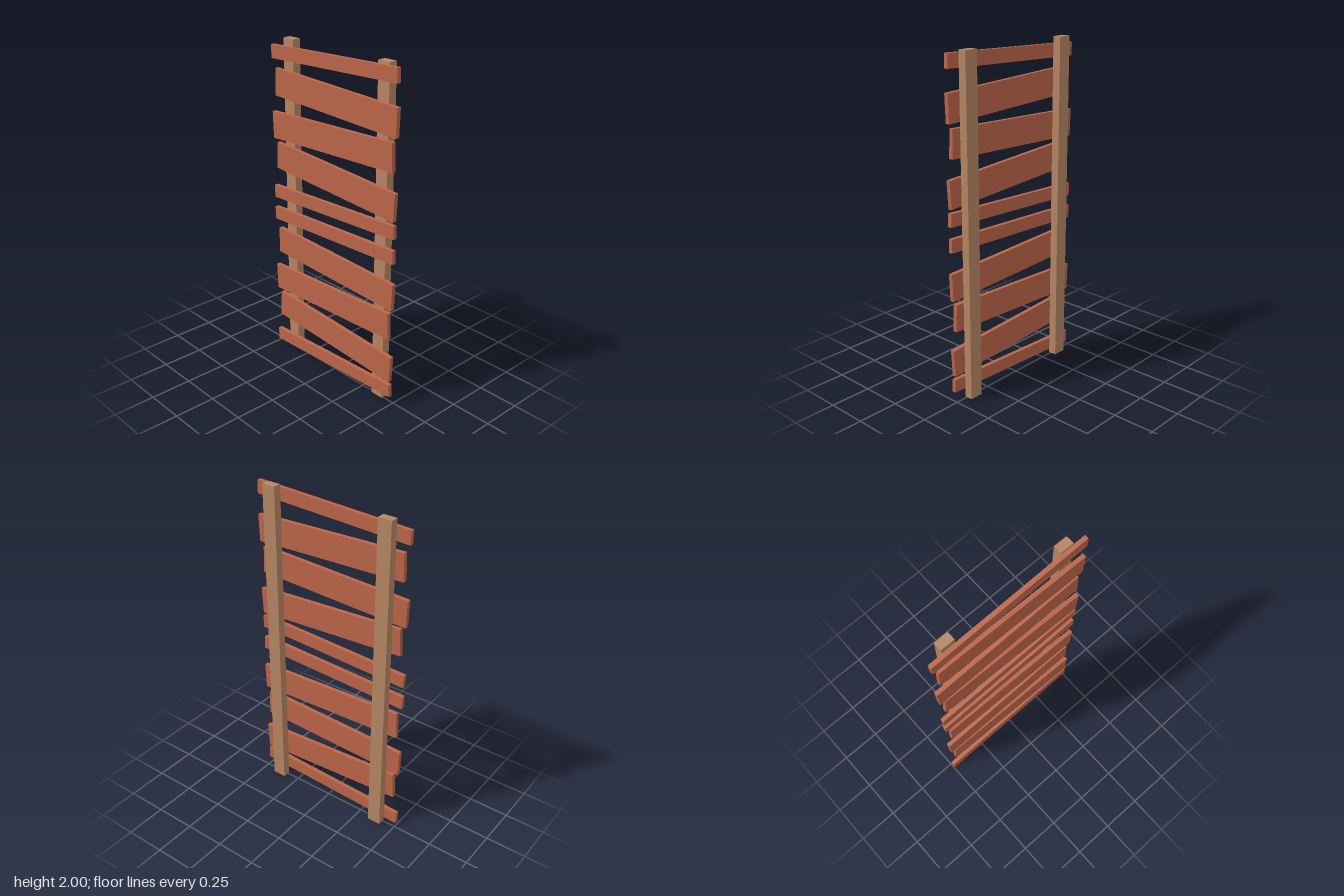
import * as THREE from 'three';

export function createModel() {
  const group = new THREE.Group();
  const railMaterial = new THREE.MeshStandardMaterial({ color: 0xb58562 });
  const plankMaterial = new THREE.MeshStandardMaterial({ color: 0xbb6549 });

  function addBoard(name, material, size, position, tilt = 0) {
    const mesh = new THREE.Mesh(new THREE.BoxGeometry(...size), material);
    mesh.name = name;
    mesh.position.set(...position);
    mesh.rotation.z = tilt;
    group.add(mesh);
  }

  // Two upright rails at the back
  addBoard('rightRail', railMaterial, [0.083, 2, 0.05], [-0.372, 1, -0.0125]);
  addBoard('leftRail', railMaterial, [0.083, 2, 0.05], [0.378, 1, -0.0125]);

  // Crooked planks: centre x, centre y, length, height, tilt
  const planks = [
    [0, 0.076, 0.998, 0.078, 0.042],
    [0.0165, 0.266, 0.965, 0.163, -0.057],
    [-0.0105, 0.495, 0.973, 0.163, 0.038],
    [0.0165, 0.722, 0.967, 0.163, -0.037],
    [0, 0.931, 0.995, 0.08, 0.037],
  ];

  // The same five planks repeat in the lower and upper half
  for (const half of [0, 1]) {
    planks.forEach(([x, y, length, height, tilt], i) => {
      addBoard(`plank${half * planks.length + i + 1}`, plankMaterial,
        [length, height, 0.025], [x, y + half, 0.025], tilt);
    });
  }

  return group;
}
